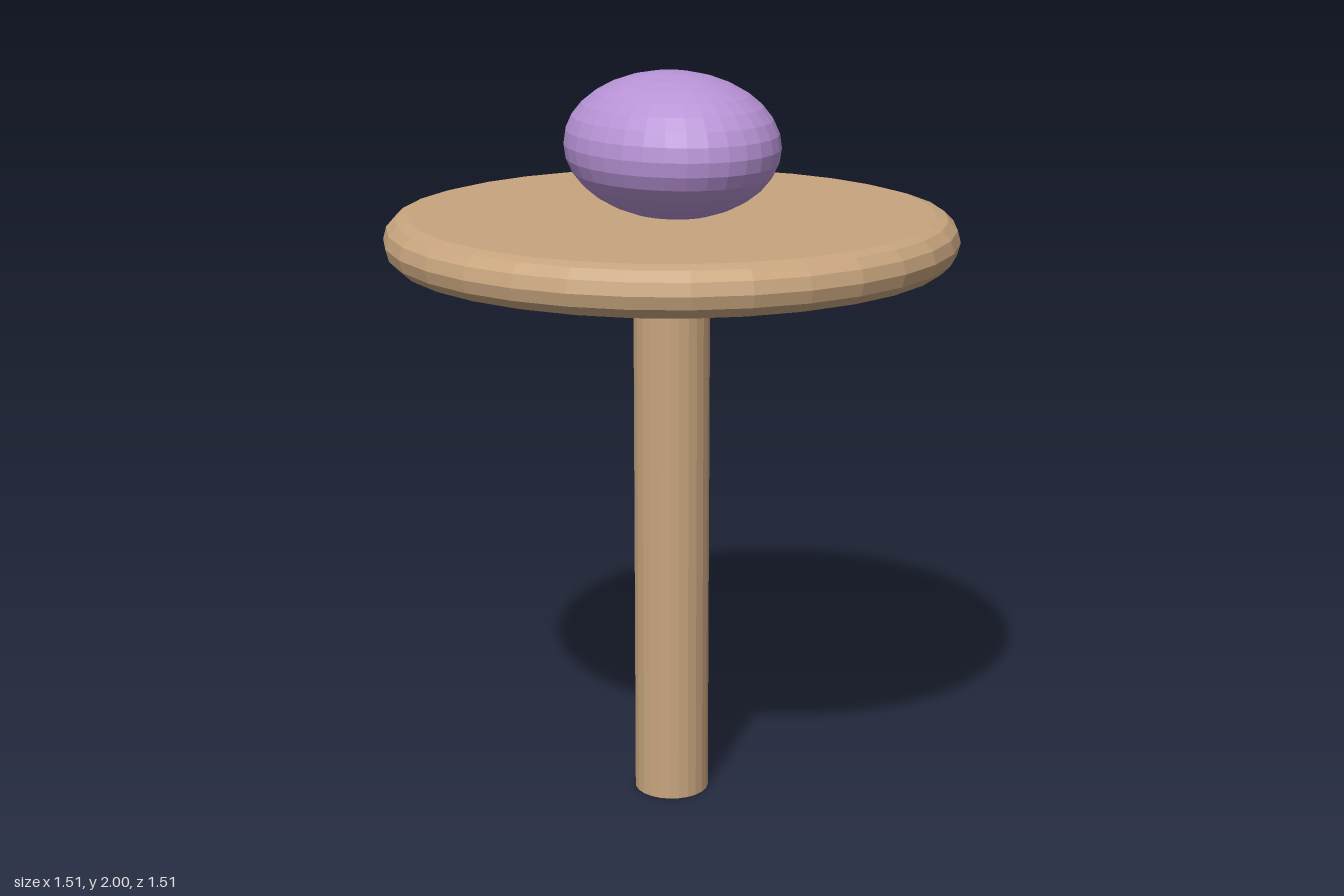
import * as THREE from 'three';

const wood = new THREE.MeshStandardMaterial({ color: 0xc8a57e, flatShading: true });
const purple = new THREE.MeshStandardMaterial({ color: 0xb893d6, flatShading: true });

export function createModel() {
  const model = new THREE.Group();
  const add = (name, geometry, material, y) => {
    const mesh = new THREE.Mesh(geometry, material);
    mesh.name = name;
    mesh.position.y = y;
    model.add(mesh);
    return mesh;
  };

  // Straight round post from the ground to the underside of the disc
  add('post', new THREE.CylinderGeometry(0.102, 0.102, 1.51, 24), wood, 0.755);

  // Flat disc with a half-round rim
  const flat = 0.69, rim = 0.065, steps = 6;
  const profile = [new THREE.Vector2(0, -rim)];
  for (let i = 0; i <= steps; i++) {
    const a = -Math.PI / 2 + (i / steps) * Math.PI;
    profile.push(new THREE.Vector2(flat + rim * Math.cos(a), rim * Math.sin(a)));
  }
  profile.push(new THREE.Vector2(0, rim));
  add('disc', new THREE.LatheGeometry(profile, 32), wood, 1.57);

  // Ellipsoid resting on the disc, longest front to back
  const egg = add('ellipsoid', new THREE.SphereGeometry(1, 32, 16), purple, 1.81);
  egg.scale.set(0.273, 0.19, 0.328);

  return model;
}
